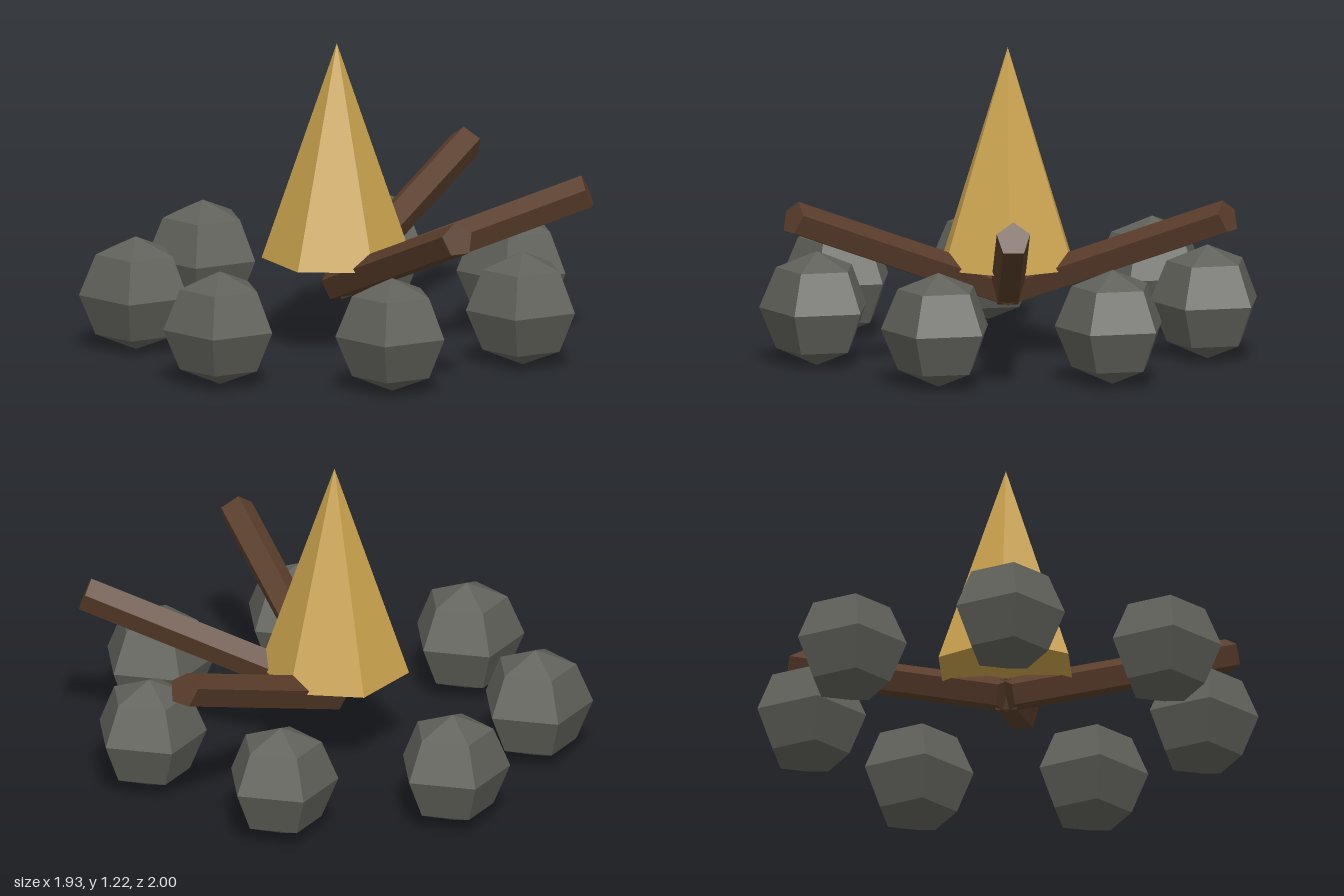
import * as THREE from 'three';

const flat = (color) => new THREE.MeshStandardMaterial({ color, flatShading: true });

export function createModel() {
  const group = new THREE.Group();
  const fire = new THREE.Group(); // everything is centred on the flame axis
  fire.name = 'campfire';
  fire.position.x = -0.04;
  group.add(fire);

  const add = (name, geometry, material) => {
    const mesh = new THREE.Mesh(geometry, material);
    mesh.name = name;
    fire.add(mesh);
    return mesh;
  };

  // Flame: six-sided cone with a corner facing the front
  const base = 0.36, tip = 1.225;
  add('flame', new THREE.ConeGeometry(0.295, tip - base, 6), flat(0xc9a24d))
    .position.y = (base + tip) / 2;

  // Logs: five-sided, ridge up, fanning out and upward from the centre
  const length = 1.055, tilt = 0.366;
  const logGeometry = new THREE.CylinderGeometry(0.069, 0.069, length, 5)
    .rotateY(Math.PI)
    .translate(0, length / 2, 0)
    .rotateX(Math.PI / 2 - tilt);
  const wood = flat(0x5a3d2b);
  for (let i = 0; i < 3; i++) {
    const log = add('log' + (i + 1), logGeometry, wood);
    log.position.y = 0.255;
    log.rotation.y = i * Math.PI / 3;
  }

  // Stones: a ring of seven, all turned the same way with a corner to the back
  const stoneRadius = 0.227, ringRadius = 0.79;
  const stoneGeometry = new THREE.SphereGeometry(stoneRadius, 5, 4).rotateY(-Math.PI / 2);
  const rock = flat(0x5f6059);
  for (let i = 0; i < 7; i++) {
    const a = i * Math.PI * 2 / 7;
    add('stone' + (i + 1), stoneGeometry, rock)
      .position.set(ringRadius * Math.cos(a), 0.23, ringRadius * Math.sin(a));
  }

  return group;
}
